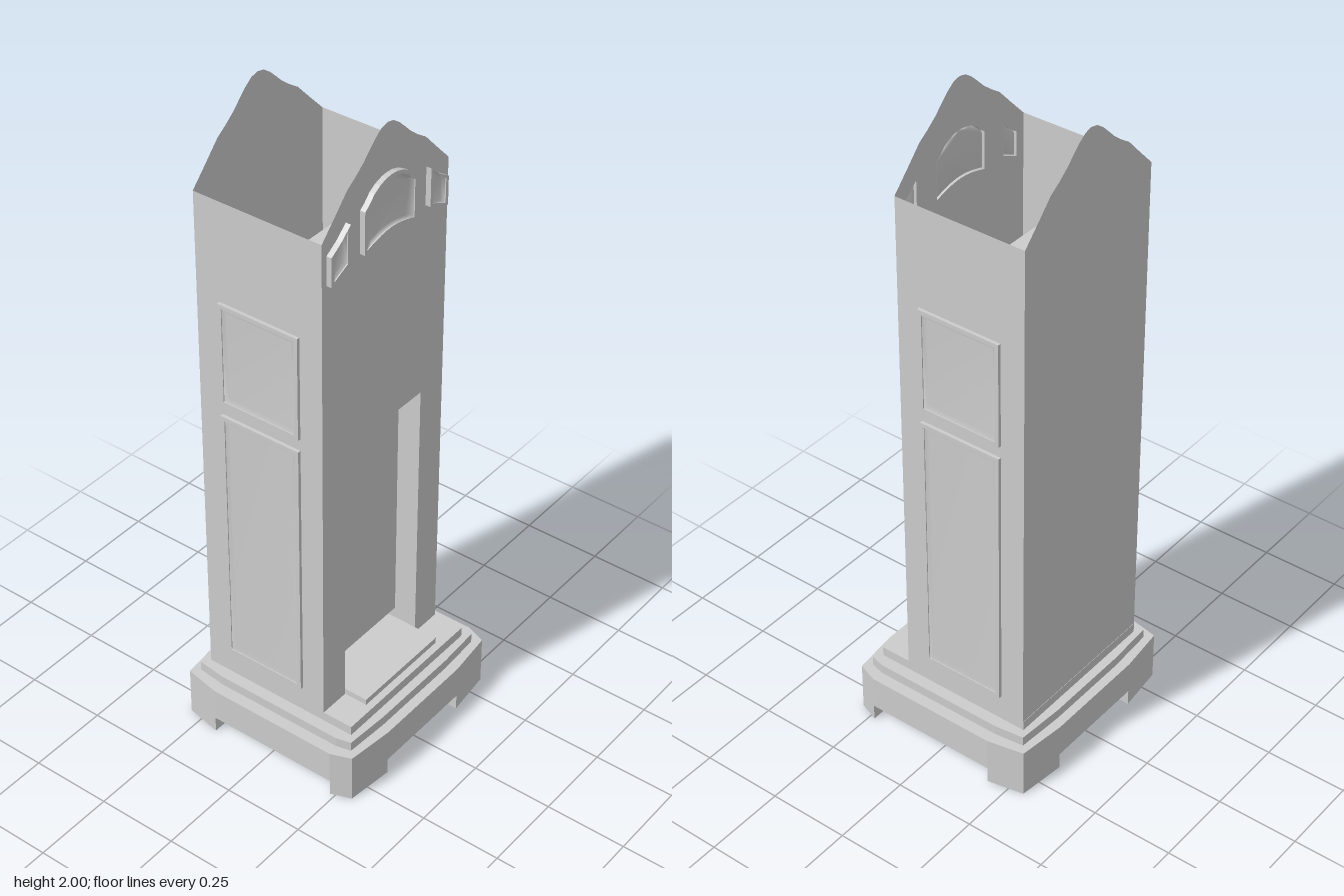
import * as THREE from 'three';

const MAT = new THREE.MeshStandardMaterial({ color: 0xcccccc, side: THREE.DoubleSide });
const FRONT = 0.157, BACK = -0.256, HALF = 0.265, FLOOR = 0.215, EAVE = 1.775;
const DOOR = 0.166, DOOR_TOP = 1.08;
const PANEL_Z = -0.048, PANEL_HALF = 0.132;

const vec = (list) => list.map(([x, y]) => new THREE.Vector2(x, y));
const mirror = (pts) => pts.map((p) => new THREE.Vector2(-p.x, p.y)).reverse();

function mesh(name, geometry, parent) {
  const m = new THREE.Mesh(geometry, MAT);
  m.name = name;
  parent.add(m);
  return m;
}

function box(name, x0, x1, y0, y1, z0, z1, parent) {
  const m = mesh(name, new THREE.BoxGeometry(x1 - x0, y1 - y0, z1 - z0), parent);
  m.position.set((x0 + x1) / 2, (y0 + y1) / 2, (z0 + z1) / 2);
  return m;
}

// Shrinks an outline by t on each side of its bounding box
function inset(pts, t) {
  const b = new THREE.Box2().setFromPoints(pts);
  const c = b.getCenter(new THREE.Vector2());
  const s = b.getSize(new THREE.Vector2());
  const k = new THREE.Vector2(1 - (2 * t) / s.x, 1 - (2 * t) / s.y);
  return pts.map((p) => p.clone().sub(c).multiply(k).add(c));
}

// Slab from a plan outline of (x, z) points between two heights
function slab(name, plan, y0, y1, parent) {
  const g = new THREE.ExtrudeGeometry(new THREE.Shape(plan), { depth: y1 - y0, bevelEnabled: false });
  g.rotateX(Math.PI / 2).translate(0, y1, 0);
  return mesh(name, g, parent);
}

// Softly shaded sunken pane with a sloping rim
function dish(pts, slope, zRim, zFloor) {
  const inner = inset(pts, slope), n = pts.length, pos = [], idx = [];
  pts.forEach((p) => pos.push(p.x, p.y, zRim));
  inner.forEach((p) => pos.push(p.x, p.y, zFloor));
  for (let i = 0; i < n; i++) {
    const j = (i + 1) % n;
    idx.push(i, j, n + j, i, n + j, n + i);
  }
  THREE.ShapeUtils.triangulateShape(inner, []).forEach((f) => idx.push(...f.map((i) => i + n)));
  const g = new THREE.BufferGeometry();
  g.setAttribute('position', new THREE.Float32BufferAttribute(pos, 3));
  g.setIndex(idx);
  g.computeVertexNormals();
  return g;
}

// Raised frame around a sunken pane, facing +z, from z = 0 to depth
function framedPane(name, pts, border, slope, depth, paneZ, parent) {
  const group = new THREE.Group();
  group.name = name;
  const hole = inset(pts, border);
  const shape = new THREE.Shape(pts);
  shape.holes.push(new THREE.Path(hole));
  mesh('frame', new THREE.ExtrudeGeometry(shape, { depth, bevelEnabled: false }), group);
  mesh('pane', dish(hole, slope, depth - 0.003, paneZ), group);
  parent.add(group);
  return group;
}

// Plan outline of a bowed plinth tier, from its right-hand half
const tierPlan = (half) => {
  const pts = vec(half);
  return [...pts, ...mirror(pts)];
};

function gableProfile() {
  const half = vec([[0.265, EAVE], [0.21, 1.832], [0.163, 1.882], [0.13, 1.904], [0.097, 1.93],
    [0.075, 1.952], [0.05, 1.976], [0.025, 1.994]]);
  return [...half, new THREE.Vector2(0, 2), ...mirror(half)];
}

// Window outlines, counter-clockwise
function windowOutlines() {
  const centre = [];
  for (let i = 0; i <= 10; i++) {
    const x = -0.11 + 0.022 * i;
    centre.push(new THREE.Vector2(x, 1.67 + 0.022 * Math.cos((x / 0.11) * Math.PI / 2)));
  }
  const top = vec([[0.11, 1.798], [0.092, 1.812], [0.072, 1.833], [0.048, 1.847], [0.022, 1.855]]);
  centre.push(...top, new THREE.Vector2(0, 1.857), ...mirror(top));
  const left = vec([[0.168, 1.676], [0.246, 1.645], [0.246, 1.733], [0.207, 1.758], [0.168, 1.792]]);
  return { centreWindow: centre, leftWindow: left, rightWindow: mirror(left) };
}

export function createModel() {
  const model = new THREE.Group();
  model.name = 'tallCase';

  // Plinth: feet, bowed base and two steps
  const base = new THREE.Group();
  base.name = 'base';
  model.add(base);
  slab('plinth', tierPlan([[0.167, -0.312], [0.314, -0.296], [0.336, -0.185],
    [0.336, 0.234], [0.313, 0.295], [0.167, 0.311]]), 0.05, 0.155, base);
  slab('lowerStep', tierPlan([[0.14, -0.284], [0.289, -0.275], [0.3, -0.185],
    [0.3, 0.229], [0.289, 0.273], [0.15, 0.281]]), 0.155, 0.185, base);
  box('upperStep', -0.264, 0.264, 0.185, FLOOR, -0.257, 0.254, base);
  const frontFoot = vec([[0.167, 0.234], [0.336, 0.234], [0.313, 0.295], [0.167, 0.311]]);
  const backFoot = vec([[0.167, -0.312], [0.314, -0.296], [0.336, -0.185], [0.167, -0.185]]);
  slab('frontLeftFoot', frontFoot, 0, 0.05, base);
  slab('frontRightFoot', mirror(frontFoot), 0, 0.05, base);
  slab('backLeftFoot', backFoot, 0, 0.05, base);
  slab('backRightFoot', mirror(backFoot), 0, 0.05, base);

  // Thin case walls with wavy gables, open at the top
  const gable = gableProfile();
  const corners = vec([[-HALF, FLOOR], [HALF, FLOOR]]);
  mesh('backWall', new THREE.ShapeGeometry(new THREE.Shape([...corners, ...gable])), model).position.z = BACK;
  const frontShape = new THREE.Shape([...vec([[-HALF, FLOOR], [-DOOR, FLOOR], [-DOOR, DOOR_TOP],
    [DOOR, DOOR_TOP], [DOOR, FLOOR], [HALF, FLOOR]]), ...gable]);
  const windows = windowOutlines();
  Object.values(windows).forEach((w) => frontShape.holes.push(new THREE.Path(inset(w, 0.008))));
  mesh('frontWall', new THREE.ShapeGeometry(frontShape), model).position.z = FRONT;

  // Upright sheets: outer sides and the walls of the door niche
  const depth = FRONT - BACK, midZ = (FRONT + BACK) / 2;
  const sheet = (name, x, top) => {
    const m = mesh(name, new THREE.PlaneGeometry(depth, top - FLOOR), model);
    m.rotation.y = Math.sign(x) * Math.PI / 2;
    m.position.set(x, (top + FLOOR) / 2, midZ);
  };
  for (const [side, s] of [['left', 1], ['right', -1]]) {
    sheet(side + 'Wall', s * HALF, EAVE);
    sheet(side + 'NicheWall', s * DOOR, DOOR_TOP);
  }
  const ceiling = mesh('nicheCeiling', new THREE.PlaneGeometry(2 * DOOR, depth), model);
  ceiling.rotation.x = Math.PI / 2;
  ceiling.position.set(0, DOOR_TOP, midZ);
  box('doorStep', -DOOR, DOOR, FLOOR, 0.234, BACK + 0.002, 0.232, model);

  // Gable windows
  for (const [name, outline] of Object.entries(windows)) {
    framedPane(name, outline, 0.011, 0.007, 0.016, 0.003, model).position.z = FRONT;
  }

  // Side panels, with the solid cores that run between them
  for (const [name, y0, y1] of [['lower', 0.27, 1.107], ['upper', 1.145, 1.468]]) {
    box(name + 'Core', -0.264, 0.264, y0, y1, PANEL_Z - PANEL_HALF, PANEL_Z + PANEL_HALF, model);
    const rect = vec([[-PANEL_HALF, y0], [PANEL_HALF, y0], [PANEL_HALF, y1], [-PANEL_HALF, y1]]);
    for (const [side, s] of [['Left', 1], ['Right', -1]]) {
      const panel = framedPane(name + side + 'Panel', rect, 0.013, 0.013, 0.015, 0.007, model);
      panel.rotation.y = s * Math.PI / 2;
      panel.position.set(s * 0.26, 0, PANEL_Z);
    }
  }
  return model;
}
